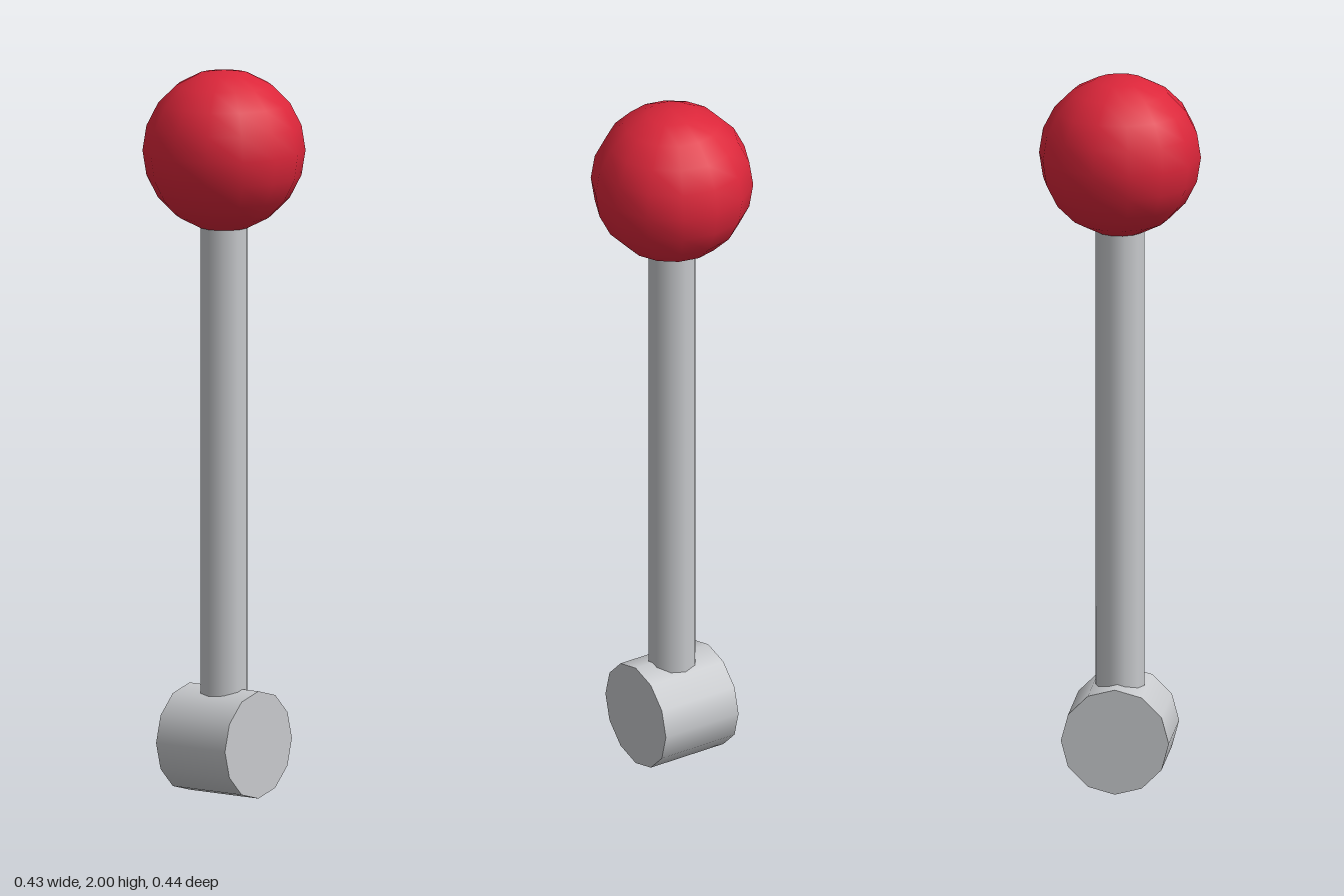
import * as THREE from 'three';

export function createModel() {
  const model = new THREE.Group();
  model.name = 'lever';

  const metal = new THREE.MeshStandardMaterial({ color: 0xc8cacd });
  metal.name = 'light grey metal';
  const red = new THREE.MeshStandardMaterial({ color: 0xdc263a });
  red.name = 'red knob';

  const add = (name, geometry, material, y) => {
    const mesh = new THREE.Mesh(geometry, material);
    mesh.name = name;
    mesh.position.y = y;
    model.add(mesh);
    return mesh;
  };

  // Pivot drum lying along x
  const pivot = new THREE.CylinderGeometry(0.148, 0.148, 0.238, 12);
  pivot.rotateZ(Math.PI / 2);
  add('pivot', pivot, metal, 0.148);

  // Shaft, running from inside the pivot into the knob
  const bottom = 0.15, top = 1.65;
  add('shaft', new THREE.CylinderGeometry(0.067, 0.067, top - bottom, 10), metal, (top + bottom) / 2);

  // Ball knob, turned so that its corners point to front and back
  const ball = new THREE.SphereGeometry(0.222, 14, 10);
  ball.rotateY(Math.PI / 2);
  add('knob', ball, red, 1.778);

  return model;
}
